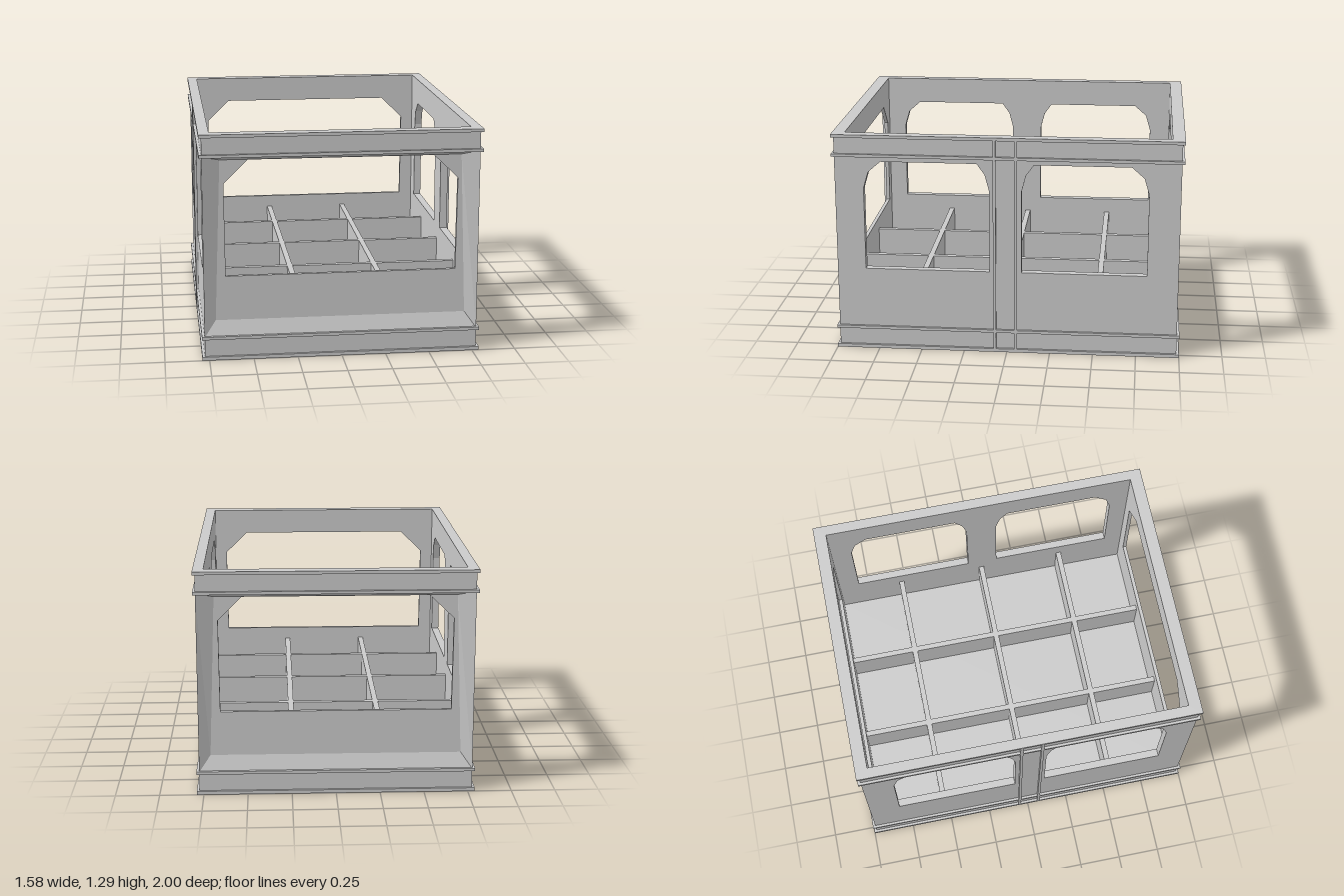
import * as THREE from 'three';

const W = 0.775, D = 0.985;    // outer half width and half depth of the walls
const IW = 0.73, ID = 0.928;   // inner half width and half depth
const material = new THREE.MeshStandardMaterial({ color: 0xcccccc, side: THREE.DoubleSide });

function add(parent, name, geometry, x = 0, y = 0, z = 0) {
  const mesh = new THREE.Mesh(geometry, material);
  mesh.name = name;
  mesh.position.set(x, y, z);
  parent.add(mesh);
  return mesh;
}

const box = (w, h, d) => new THREE.BoxGeometry(w, h, d);
const points = (list) => list.map(([x, y]) => new THREE.Vector2(x, y));
const rect = (x0, y0, x1, y1) => [[x0, y0], [x1, y0], [x1, y1], [x0, y1]];

// Plate with cut-outs, its outer face on z = 0
function plate(outline, holes, depth) {
  const shape = new THREE.Shape(points(outline));
  holes.forEach((h) => shape.holes.push(new THREE.Path(points(h))));
  return new THREE.ExtrudeGeometry(shape, { depth, bevelEnabled: false }).translate(0, 0, -depth);
}

// Horizontal rectangular ring running round the body
function ring(parent, name, hw, hd, iw, id, y0, y1) {
  const g = plate(rect(-hw, -hd, hw, hd), [rect(-iw, -id, iw, id)], y1 - y0);
  add(parent, name, g.rotateX(-Math.PI / 2), 0, y1, 0);
}

// Window outline from a to b along a side wall, with a stepped arch;
// s turns it round for the opposite wall
function sideWindow(s, a, b) {
  return [[a, 0.49], [b, 0.49], [b, 0.975], [b - 0.028, 1.07], [b - 0.1, 1.133],
    [a + 0.07, 1.133], [a + 0.025, 1.07], [a, 0.975]].map(([z, y]) => [s * z, y]);
}

// Side wall with two windows, mitred where it meets the front and back
function sideWall(s) {
  const windows = [sideWindow(-s, 0.10, 0.82), sideWindow(s, 0.085, 0.805)];
  const g = plate(rect(-D, 0.13, D, 1.17), windows, W - IW);
  const p = g.attributes.position;
  for (let i = 0; i < p.count; i++) {
    if (p.getZ(i) < -0.01 && Math.abs(p.getX(i)) > 0.98) p.setX(i, Math.sign(p.getX(i)) * 0.955);
  }
  g.rotateY(s * Math.PI / 2).translate(s * W, 0, 0);
  g.computeVertexNormals();
  return g;
}

// Four sloping faces joining the outer frame to the recessed panel
function slopedFrame() {
  const outer = rect(-W, 0.13, W, 1.165).map(([x, y]) => [x, y, D]);
  const inner = [[-0.71, 0.22], [0.71, 0.22], [0.675, 1.14], [-0.675, 1.14]]
    .map(([x, y]) => [x, y, 0.95]);
  const pos = [];
  for (let i = 0; i < 4; i++) {
    const j = (i + 1) % 4;
    for (const p of [outer[i], outer[j], inner[j], outer[i], inner[j], inner[i]]) pos.push(...p);
  }
  const g = new THREE.BufferGeometry();
  g.setAttribute('position', new THREE.Float32BufferAttribute(pos, 3));
  g.computeVertexNormals();
  return g;
}

export function createModel() {
  const model = new THREE.Group();
  model.name = 'openCabin';

  // Raised floor block with a skirt round it
  add(model, 'floor', box(2 * IW, 0.19, 2 * ID), 0, 0.095, 0);
  ring(model, 'skirt', W, D, IW, ID, 0, 0.135);

  // Upper band, top rim and protruding rails
  ring(model, 'upperBand', W, D, IW, ID, 1.165, 1.28);
  ring(model, 'topRim', 0.79, 1, IW, ID, 1.272, 1.29);
  for (const [y0, y1] of [[0, 0.02], [0.12, 0.137], [1.16, 1.177]]) {
    ring(model, 'rail', 0.79, 1, W - 0.005, D - 0.005, y0, y1);
  }

  // Side walls and the vertical ribs between their windows
  for (const s of [1, -1]) {
    const side = s > 0 ? 'left' : 'right';
    add(model, side + 'Wall', sideWall(s));
    for (const z of [0.07, -0.052]) {
      add(model, side + 'Rib', box(0.02, 1.28, 0.016), s * 0.78, 0.645, z);
    }
  }

  // Recessed front and back walls with one wide window
  const opening = [[-0.65, 0.475], [0.652, 0.475], [0.658, 1.005], [0.52, 1.138],
    [-0.52, 1.138], [-0.655, 1.005]];
  const panel = plate(rect(-IW, 0.13, IW, 1.17), [opening], 0.95 - ID);
  const frame = slopedFrame();
  for (const name of ['front', 'back']) {
    const wall = new THREE.Group();
    wall.name = name + 'Wall';
    if (name === 'back') wall.rotation.y = Math.PI;
    add(wall, name + 'Panel', panel, 0, 0, 0.95);
    add(wall, name + 'SlopedFrame', frame);
    model.add(wall);
  }

  // Crossing dividers standing on the floor
  for (const x of [-0.25, 0.25]) add(model, 'lengthDivider', box(0.032, 0.21, 2 * ID), x, 0.295, 0);
  for (const z of [-0.53, 0, 0.515]) {
    add(model, 'crossDivider', box(2 * IW, 0.21, 0.032), 0, 0.295, z);
  }

  return model;
}
